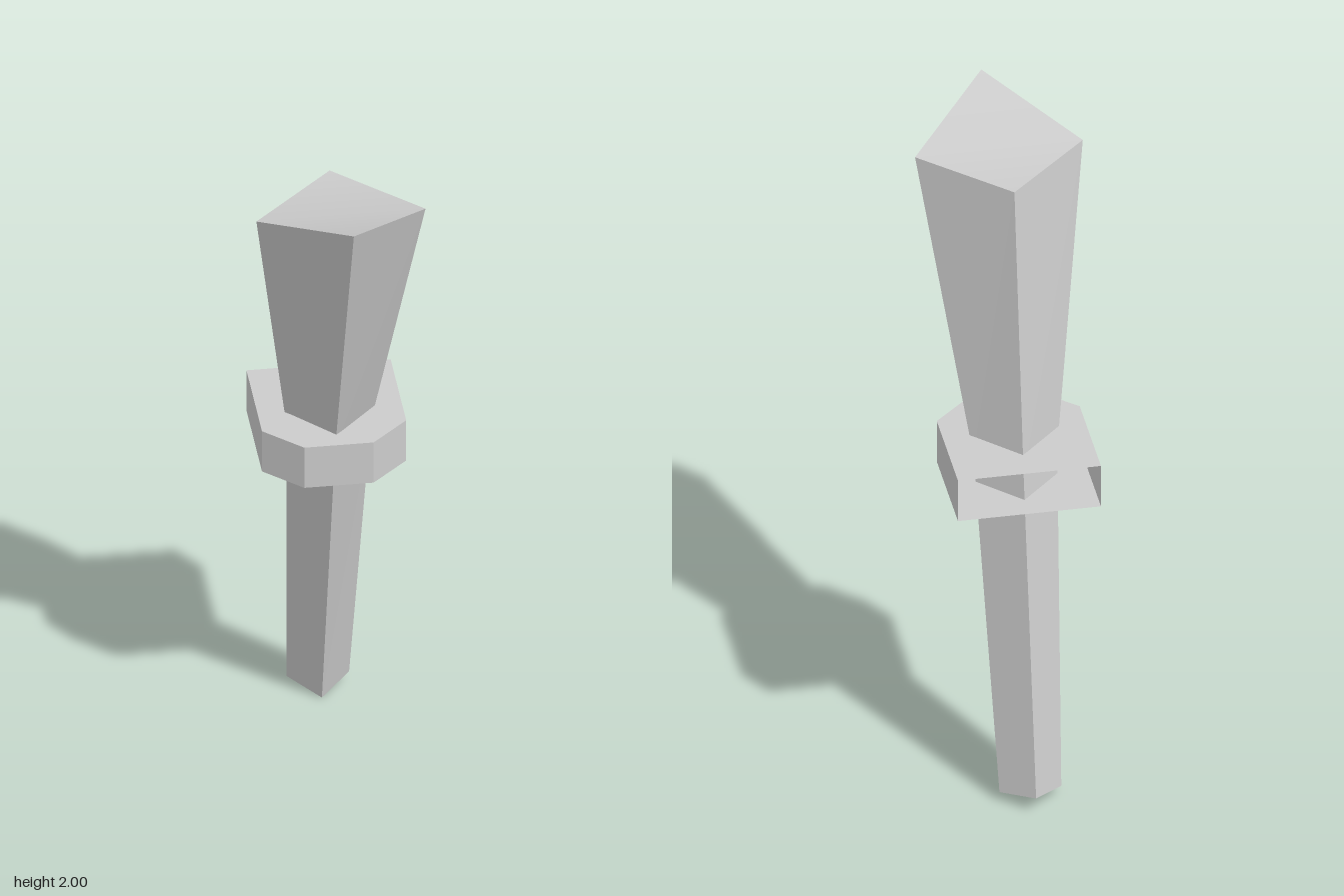
import * as THREE from 'three';

const material = () => new THREE.MeshStandardMaterial({ color: 0xcccccc, side: THREE.DoubleSide });

// Diamond cross-section, counter-clockwise from above: front, left, back, right
const diamond = ([frontY, frontZ], [halfWidth, sideY, sideZ], [backY, backZ]) => [
  [0, frontY, frontZ], [halfWidth, sideY, sideZ], [0, backY, backZ], [-halfWidth, sideY, sideZ],
];

// Flat quads between two rings; skip leaves one side open
function wall(lower, upper, skip = -1) {
  const out = [];
  lower.forEach((a, i) => {
    if (i === skip) return;
    const j = (i + 1) % lower.length;
    out.push(a, lower[j], upper[j], a, upper[j], upper[i]);
  });
  return out;
}

// Fan of triangles filling a convex ring
function cap(ring, down = false) {
  const out = [];
  for (let i = 1; i < ring.length - 1; i++) {
    out.push(ring[0], ring[down ? i + 1 : i], ring[down ? i : i + 1]);
  }
  return out;
}

function makeMesh(name, points, index) {
  const geometry = new THREE.BufferGeometry();
  geometry.setAttribute('position', new THREE.Float32BufferAttribute(points.flat(), 3));
  if (index) geometry.setIndex(index);
  geometry.computeVertexNormals();
  const mesh = new THREE.Mesh(geometry, material());
  mesh.name = name;
  return mesh;
}

export function createModel() {
  const group = new THREE.Group();
  group.name = 'leaningHandle';

  // Leaning shaft: narrow foot, bend hidden in the collar, flared head
  const foot = diamond([0, -0.245], [0.09, 0.028, -0.328], [0.05, -0.415]);
  const bend = diamond([1.03, 0.031], [0.122, 1.03, -0.1], [1.03, -0.225]);
  const head = diamond([2, 0.418], [0.244, 1.9, 0.15], [1.9, -0.086]);
  group.add(makeMesh('lowerShaft', [...wall(foot, bend), ...cap(foot, true)]));
  group.add(makeMesh('upperShaft', wall(bend, head)));

  // Softly shaded top, folded from side to side
  group.add(makeMesh('shaftTop', head, [0, 1, 3, 1, 2, 3]));

  // Hollow six-sided collar, open at the back
  const outline = [[-0.1, 0.11], [0.1, 0.11], [0.208, 0.008], [0.208, -0.314], [-0.208, -0.314], [-0.208, 0.008]];
  const [low, high] = [0.953, 1.09].map((y) => outline.map(([x, z]) => [x, y, z]));
  group.add(makeMesh('collar', [...wall(low, high, 3), ...cap(high), ...cap(low, true)]));

  return group;
}
